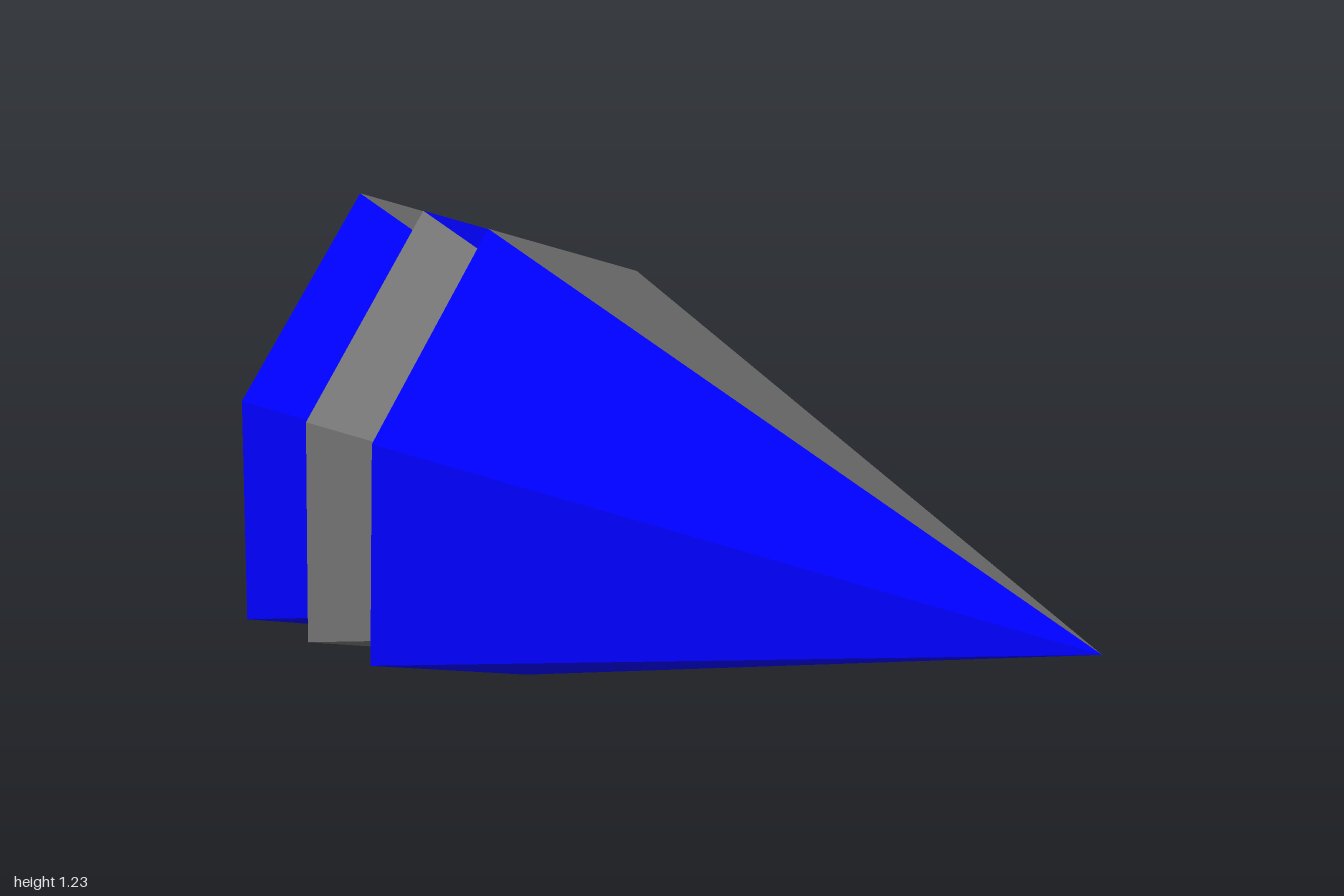
import * as THREE from 'three';

const RADIUS = 0.615;
const APEX_X = 1;
const RIM_X = [-0.62, -0.565]; // rim corners alternate back and forth
const HOLLOW_X = -0.3;         // tip of the recess in the base
const SPACING = 0.19;

// Half of a six-sided cone: three outer panels and three panels of the hollow base
function halfCone(firstCorner) {
  const apex = [APEX_X, 0, 0];
  const hollow = [HOLLOW_X, 0, 0];
  const corner = (i) => {
    const a = (i * Math.PI) / 3;
    return [RIM_X[i % 2], RADIUS * Math.cos(a), RADIUS * Math.sin(a)];
  };
  const points = [];
  for (let i = firstCorner; i < firstCorner + 3; i++) {
    points.push(...apex, ...corner(i), ...corner(i + 1));
    points.push(...hollow, ...corner(i + 1), ...corner(i));
  }
  const geometry = new THREE.BufferGeometry();
  geometry.setAttribute('position', new THREE.Float32BufferAttribute(points, 3));
  geometry.computeVertexNormals();
  return geometry;
}

export function createModel() {
  const model = new THREE.Group();
  model.name = 'nestedCones';

  const blue = new THREE.MeshStandardMaterial({ color: 0x0000ff, flatShading: true, side: THREE.DoubleSide });
  const darkGrey = new THREE.MeshStandardMaterial({ color: 0x737373, flatShading: true, side: THREE.DoubleSide });
  const frontHalf = halfCone(0);
  const backHalf = halfCone(3);

  // Three equal cones stacked inside each other, colours swapped on the middle one
  ['noseCone', 'middleCone', 'tailCone'].forEach((name, i) => {
    const cone = new THREE.Group();
    cone.name = name;
    const swapped = i === 1;
    const front = new THREE.Mesh(frontHalf, swapped ? darkGrey : blue);
    front.name = name + 'FrontHalf';
    const back = new THREE.Mesh(backHalf, swapped ? blue : darkGrey);
    back.name = name + 'BackHalf';
    cone.add(front, back);
    cone.position.set(-SPACING * i, RADIUS, 0);
    model.add(cone);
  });

  return model;
}
